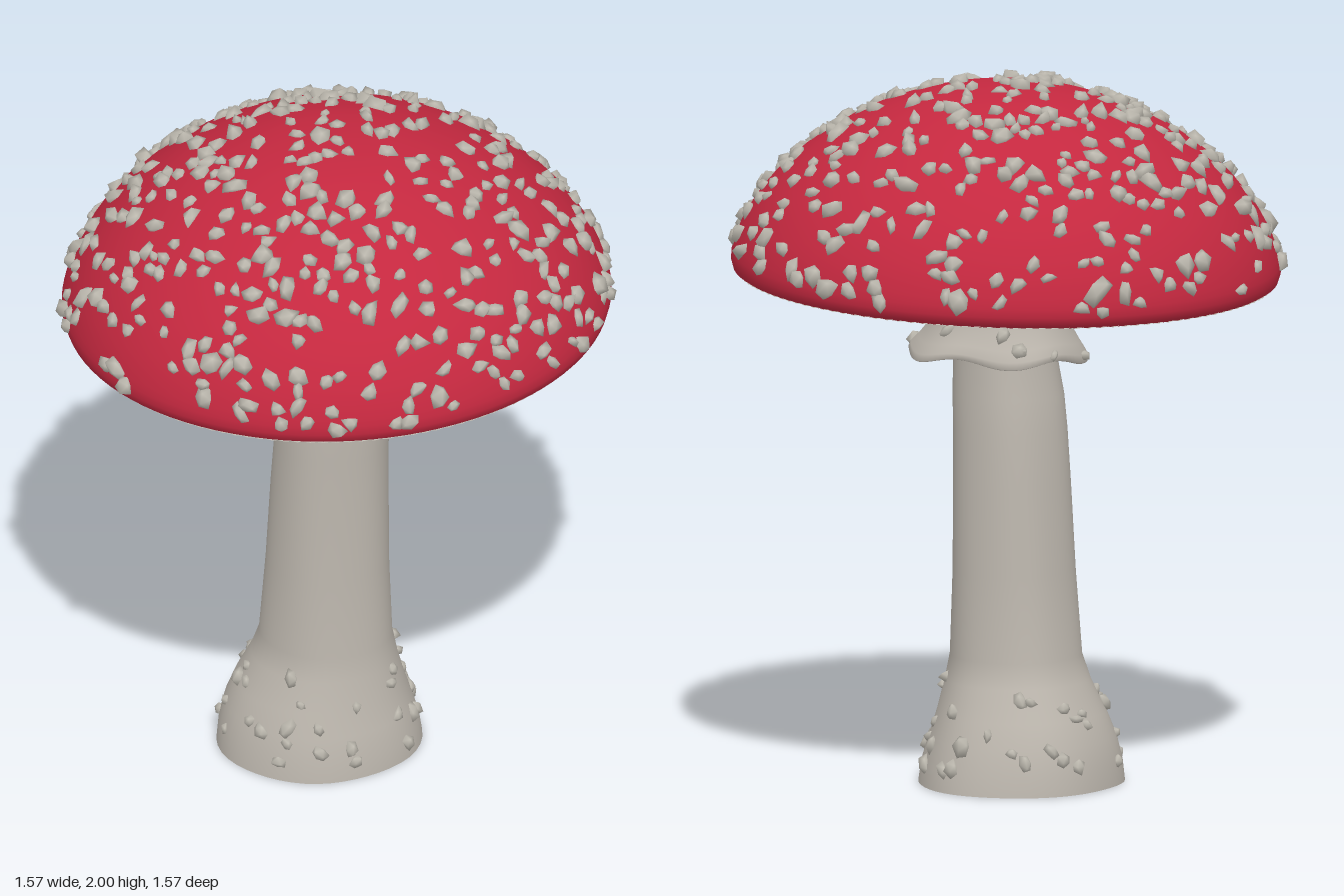
import * as THREE from 'three';
import { mergeGeometries, mergeVertices } from 'three/addons/utils/BufferGeometryUtils.js';

const TAU = Math.PI * 2;

// Seeded random numbers
let seed = 7;
function rand(a = 0, b = 1) {
  seed = (seed * 1664525 + 1013904223) % 4294967296;
  return a + (b - a) * seed / 4294967296;
}

// Closed rings of points joined into a skin; point(row, angle) gives each vertex
function loft(rows, segments, point) {
  const pos = [], index = [];
  rows.forEach((row, j) => {
    for (let i = 0; i < segments; i++) {
      pos.push(...point(row, i / segments * TAU, i).toArray());
      if (j === rows.length - 1) continue;
      const a = j * segments + i, b = j * segments + (i + 1) % segments;
      index.push(a, b, a + segments, b, b + segments, a + segments);
    }
  });
  const g = new THREE.BufferGeometry();
  g.setAttribute('position', new THREE.Float32BufferAttribute(pos, 3));
  g.setIndex(index);
  g.computeVertexNormals();
  return g;
}

// A small angular flake seated on a surface point
const flake = new THREE.IcosahedronGeometry(1, 0);
flake.deleteAttribute('normal');
flake.deleteAttribute('uv');
const flakeBase = mergeVertices(flake);
const UP = new THREE.Vector3(0, 1, 0);
function wart(position, normal, size) {
  const g = flakeBase.clone(), p = g.attributes.position;
  for (let i = 0; i < p.count; i++) {
    const k = rand(0.65, 1.3);
    p.setXYZ(i, p.getX(i) * k, p.getY(i) * k, p.getZ(i) * k);
  }
  g.scale(size * rand(0.95, 1.35), size * rand(0.75, 1), size * rand(0.75, 1.05));
  g.rotateY(rand(0, TAU));
  g.applyQuaternion(new THREE.Quaternion().setFromUnitVectors(UP, normal));
  g.translate(position.x, position.y, position.z);
  g.computeVertexNormals();
  return g;
}

// Stem sections: height, centre x, radius x, centre z, radius z
const STEM = [
  [0, 0.008, 0.294, -0.074, 0.284], [0.06, 0.006, 0.284, -0.074, 0.279],
  [0.13, 0.003, 0.264, -0.074, 0.262], [0.2, 0.002, 0.238, -0.069, 0.238],
  [0.29, 0, 0.202, -0.052, 0.207], [0.36, 0, 0.184, -0.045, 0.188],
  [0.6, 0, 0.173, -0.038, 0.173], [0.85, 0, 0.165, -0.03, 0.166],
  [1.0, -0.002, 0.16, -0.022, 0.161], [1.1, -0.002, 0.156, -0.014, 0.158],
  [1.18, -0.002, 0.148, -0.005, 0.149],
  [1.3, 0, 0.143, 0, 0.145], [1.53, 0, 0.15, 0.01, 0.15],
];
function stemPoint([y, cx, rx, cz, rz], a) {
  const w = 1 + 0.018 * Math.sin(3 * a + 1) + 0.012 * Math.sin(5 * a + 2 * y);
  return new THREE.Vector3(cx + rx * w * Math.sin(a), y, cz + rz * w * Math.cos(a));
}
function stemSection(y) {
  const j = STEM.findIndex(r => r[0] > y), lo = STEM[j - 1], hi = STEM[j];
  return lo.map((v, k) => v + (hi[k] - v) * (y - lo[0]) / (hi[0] - lo[0]));
}

// Skirt sections: height, radius, from the inside down to the hem and up the outside
const SKIRT = [
  [1.36, 0.14], [1.27, 0.195], [1.215, 0.232], [1.2, 0.247],
  [1.203, 0.254], [1.222, 0.25], [1.25, 0.23], [1.29, 0.205],
  [1.34, 0.186], [1.41, 0.174], [1.52, 0.165],
];
function skirtPoint([y, r], a) {
  const drop = THREE.MathUtils.clamp((1.36 - y) / 0.16, 0, 1) ** 2;
  const rr = r * (1 + drop * (0.03 * Math.sin(5 * a + 0.6) + 0.02 * Math.sin(2 * a + 1)));
  return new THREE.Vector3(rr * 0.96 * Math.sin(a),
    y + drop * (0.009 * Math.sin(a) - 0.011 * Math.cos(5 * a)),
    0.015 + 0.02 * drop + rr * Math.cos(a));
}

export function createModel() {
  seed = 7;
  const mat = (name, color, extra = {}) => {
    const m = new THREE.MeshStandardMaterial({ color, ...extra });
    m.name = name;
    return m;
  };
  const red = mat('cap red', 0xc4283f);
  const pale = mat('stem grey', 0xbcb6ad, { side: THREE.DoubleSide });
  const gillMat = mat('gill grey', 0xbcb6ad, { side: THREE.DoubleSide, flatShading: true });
  const wartMat = mat('wart grey', 0xbcb8ae);

  const model = new THREE.Group();
  model.name = 'mushroom';
  const add = (parent, name, geometry, material) => {
    const m = new THREE.Mesh(geometry, material);
    m.name = name;
    parent.add(m);
  };

  // Stem with a flat foot
  add(model, 'stem', loft(STEM, 48, stemPoint), pale);
  add(model, 'stemFoot', loft([[0, 0.008, 0, -0.074, 0], STEM[0]], 48, stemPoint), pale);

  // Wavy skirt under the cap
  add(model, 'skirt', loft(SKIRT, 80, skirtPoint), pale);

  // Cap, tilted slightly up at the front
  const cap = new THREE.Group();
  cap.name = 'cap';
  cap.position.set(-0.003, 1.424, -0.003);
  cap.rotation.x = -0.04;
  model.add(cap);

  const profile = new THREE.SplineCurve([
    [0.749, 0.004], [0.757, 0.002], [0.767, 0.02], [0.771, 0.06], [0.738, 0.153],
    [0.668, 0.259], [0.557, 0.365], [0.403, 0.461], [0.2, 0.532], [0, 0.553],
  ].map(([x, y]) => new THREE.Vector2(x, y)));
  const outline = profile.getSpacedPoints(44);
  outline[44].x = 0;
  add(cap, 'capSkin', new THREE.LatheGeometry(outline, 96), red);

  // Radial gills: folded ridges and valleys from stem to rim
  const gillRows = [
    [0.12, 0.085, 0.05], [0.22, 0.064, 0.06], [0.36, 0.042, 0.062],
    [0.52, 0.024, 0.057], [0.66, 0.01, 0.045], [0.735, 0.003, 0.024], [0.754, 0.003, 0.003],
  ];
  add(cap, 'gills', loft(gillRows, 260, ([r, y, depth], a, i) =>
    new THREE.Vector3(r * Math.sin(a), y + (i % 2) * depth, r * Math.cos(a))), gillMat);

  // Warts scattered evenly over the cap
  const capWarts = [], spots = [];
  while (spots.length < 440) {
    const t = rand(0.06, 1), p = profile.getPointAt(t);
    if (p.y < 0.05 || rand() > p.x / 0.771) continue;
    const d = profile.getTangentAt(t), a = rand(0, TAU);
    const at = (r, y) => new THREE.Vector3(r * Math.sin(a), y, r * Math.cos(a));
    const spot = at(p.x, p.y);
    if (spots.some(s => s.distanceTo(spot) < 0.036)) continue;
    spots.push(spot);
    capWarts.push(wart(spot, at(d.y, -d.x).normalize(), rand(0.019, 0.032)));
  }
  add(cap, 'capWarts', mergeGeometries(capWarts), wartMat);

  // Warts around the swollen base
  const baseWarts = [];
  for (let i = 0; i < 46; i++) {
    const a = i * 2.4 + rand(-0.3, 0.3), y = 0.05 + 0.26 * rand() ** 1.7;
    const n = new THREE.Vector3(Math.sin(a), 0.3, Math.cos(a)).normalize();
    baseWarts.push(wart(stemPoint(stemSection(y), a), n, rand(0.016, 0.026)));
  }
  add(model, 'baseWarts', mergeGeometries(baseWarts), wartMat);

  // A few warts on the skirt
  const skirtWarts = [];
  for (let i = 0; i < 16; i++) {
    const a = i * 2.4 + rand(-0.3, 0.3);
    const n = new THREE.Vector3(Math.sin(a), 0.4, Math.cos(a)).normalize();
    skirtWarts.push(wart(skirtPoint(SKIRT[5 + i % 4], a), n, rand(0.015, 0.025)));
  }
  add(model, 'skirtWarts', mergeGeometries(skirtWarts), wartMat);

  return model;
}
